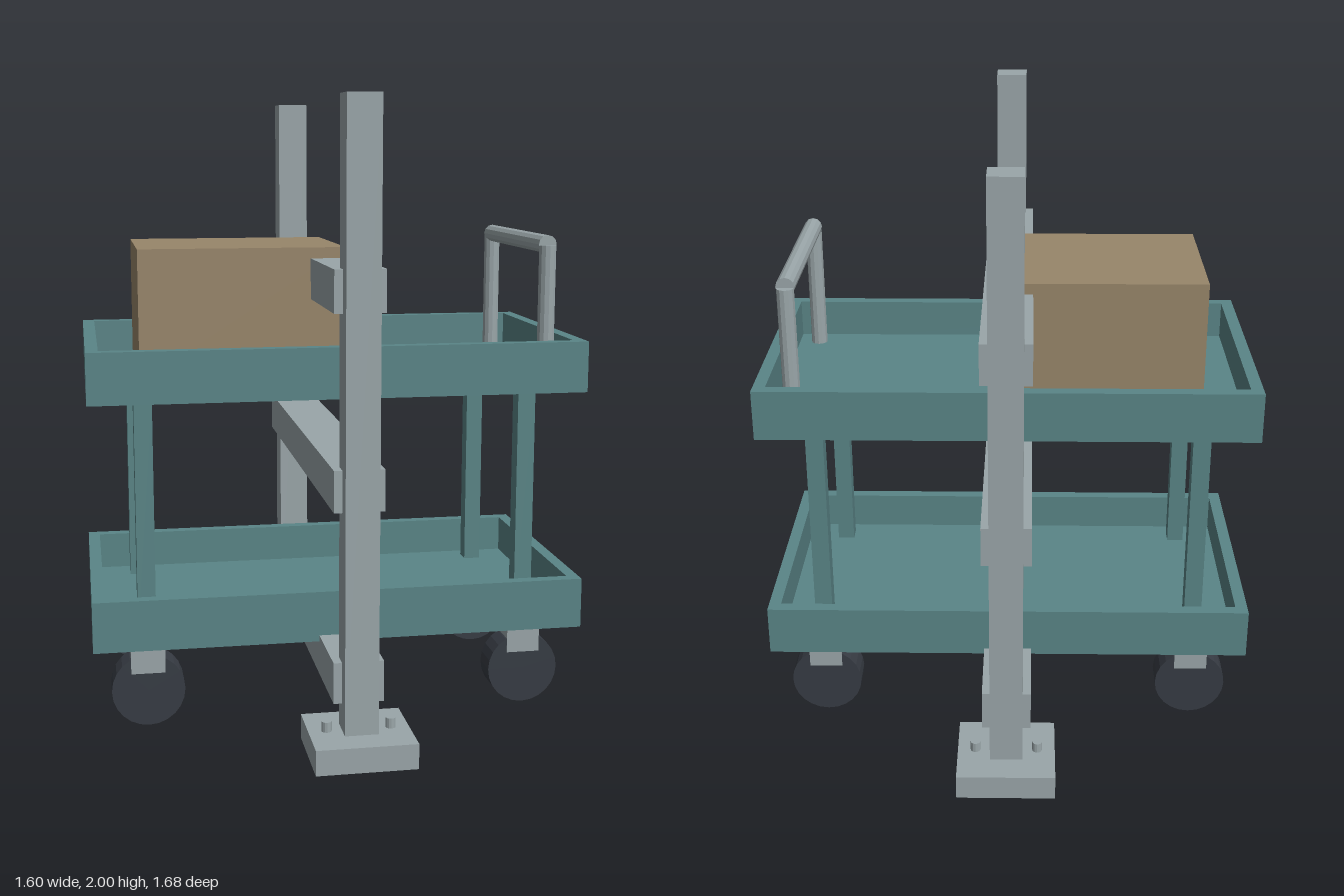
import * as THREE from 'three';

export function createModel() {
  const model = new THREE.Group();
  const material = (name, color) => {
    const m = new THREE.MeshStandardMaterial({ color, flatShading: true });
    m.name = name;
    return m;
  };
  const teal = material('teal paint', 0x5a8587);
  const steel = material('grey steel', 0x9aa6a9);
  const cardboard = material('cardboard', 0x98866a);
  const rubber = material('dark rubber', 0x373c44);

  const add = (parent, name, geometry, mat, x, y, z) => {
    const mesh = new THREE.Mesh(geometry, mat);
    mesh.name = name;
    mesh.position.set(x, y, z);
    parent.add(mesh);
    return mesh;
  };
  // Box given by its width, depth, and bottom and top heights
  const block = (parent, name, mat, w, d, y0, y1, x = 0, z = 0) =>
    add(parent, name, new THREE.BoxGeometry(w, y1 - y0, d), mat, x, (y0 + y1) / 2, z);
  const group = (name) => {
    const g = new THREE.Group();
    g.name = name;
    model.add(g);
    return g;
  };
  const sides = [-1, 1];

  // Two open trays: a floor inside four thin walls
  const W = 1.6, D = 0.866, H = 0.165, T = 0.04;
  for (const [name, y] of [['lowerTray', 0.275], ['upperTray', 1.065]]) {
    const tray = group(name);
    block(tray, 'trayFloor', teal, W - 2 * T, D - 2 * T, y, y + T);
    for (const s of sides) {
      block(tray, 'trayLongWall', teal, W, T, y, y + H, 0, s * (D - T) / 2);
      block(tray, 'trayEndWall', teal, T, D - 2 * T, y, y + H, s * (W - T) / 2, 0);
    }
  }

  // Corner posts and casters
  const wheelGeometry = new THREE.CylinderGeometry(0.118, 0.118, 0.095, 24).rotateX(Math.PI / 2);
  for (const sx of sides) for (const sz of sides) {
    const x = sx * 0.625, z = sz * 0.315;
    block(model, 'cornerPost', teal, 0.058, 0.058, 0.31, 1.07, x, z);
    const caster = group('caster');
    add(caster, 'wheel', wheelGeometry, rubber, x, 0.118, z);
    block(caster, 'casterBracket', steel, 0.11, 0.1, 0.175, 0.277, x, z);
  }

  // Push handle: two uprights and a cross bar
  const handle = group('pushHandle');
  for (const s of sides) {
    add(handle, 'handleUpright', new THREE.CylinderGeometry(0.028, 0.028, 0.435, 12),
      steel, 0.69, 1.315, s * 0.322);
  }
  const bar = new THREE.CylinderGeometry(0.03, 0.03, 0.644, 12).rotateX(Math.PI / 2);
  add(handle, 'handleBar', bar, steel, 0.69, 1.535, 0);

  // Carton on the upper tray
  block(model, 'carton', cardboard, 0.665, 0.53, 1.105, 1.53, -0.297, 0);

  // Barrier frame: uprights on bolted feet
  const frame = group('barrierFrame');
  for (const s of sides) {
    const z = s * 0.695;
    block(frame, 'footPlate', steel, 0.315, 0.29, 0, 0.08, 0, z);
    block(frame, 'upright', steel, 0.105, 0.105, 0.08, 2, 0, z);
    for (const b of sides) {
      add(frame, 'anchorBolt', new THREE.CylinderGeometry(0.016, 0.016, 0.04, 12),
        steel, b * 0.1, 0.092, z);
    }
  }
  // Three cross rails
  for (const y of [0.165, 0.765, 1.365]) {
    block(frame, 'crossRail', steel, 0.157, 1.39, y, y + 0.13);
  }

  return model;
}
